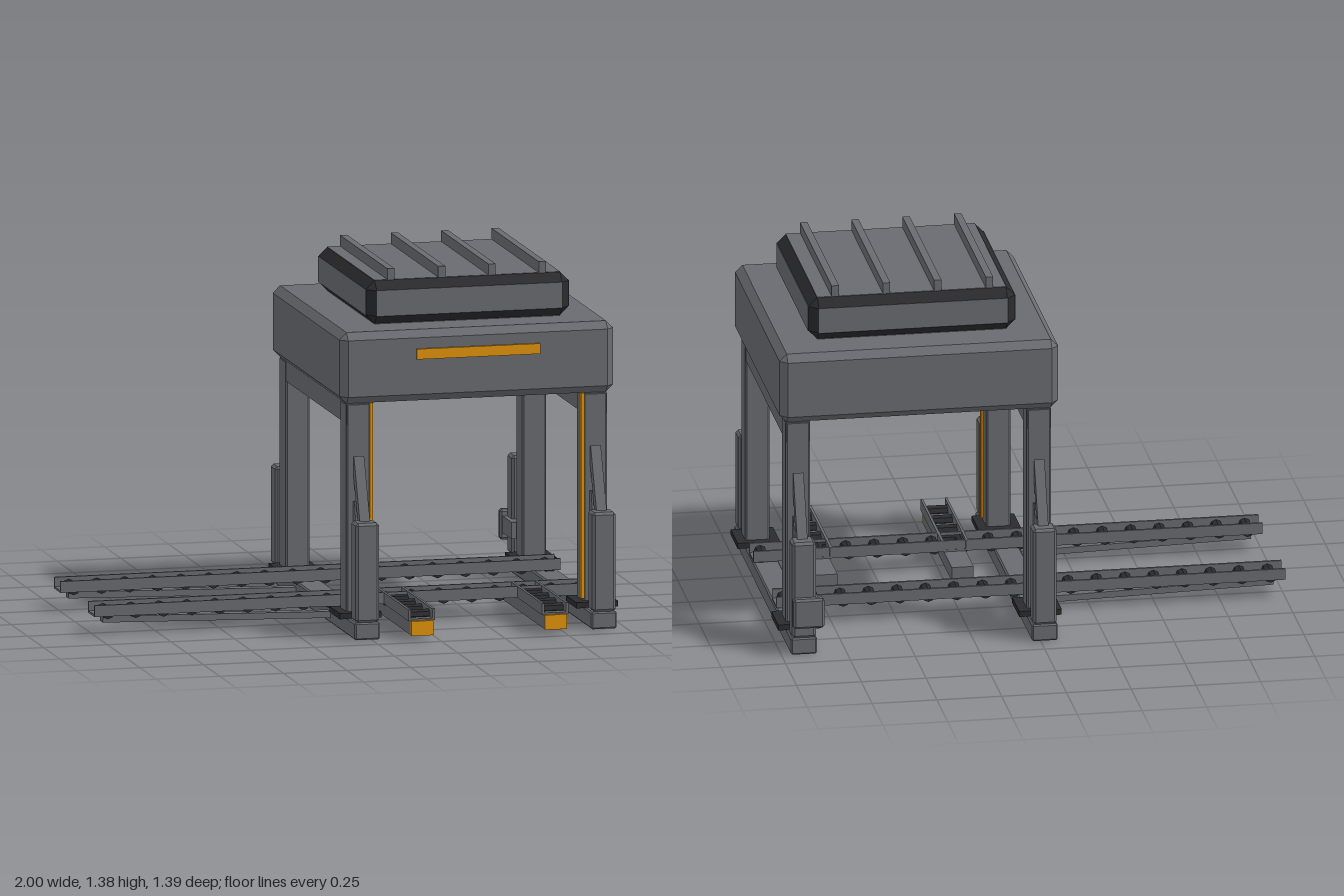
import * as THREE from 'three';
import { ConvexGeometry } from 'three/addons/geometries/ConvexGeometry.js';

const mat = (color) => new THREE.MeshStandardMaterial({ color, flatShading: true });

export function createModel() {
  const root = new THREE.Group();
  const grey = mat(0x6a6b70), dark = mat(0x2b2b2e), orange = mat(0xe0930c);

  const add = (name, geo, m, parent) => {
    const mesh = new THREE.Mesh(geo, m);
    mesh.name = name;
    parent.add(mesh);
    return mesh;
  };
  // box given by its extents on each axis; a chamfer c cuts all edges
  const box = (name, [x0, x1], [y0, y1], [z0, z1], m = grey, parent = root, c = 0) => {
    const w = x1 - x0, h = y1 - y0, d = z1 - z0;
    let geo;
    if (c) {
      const pts = [];
      for (const i of [-1, 1]) for (const j of [-1, 1]) for (const k of [-1, 1])
        for (let a = 0; a < 3; a++)
          pts.push(new THREE.Vector3(
            i * (w / 2 - (a === 0 ? 0 : c)),
            j * (h / 2 - (a === 1 ? 0 : c)),
            k * (d / 2 - (a === 2 ? 0 : c))));
      geo = new ConvexGeometry(pts);
    } else geo = new THREE.BoxGeometry(w, h, d);
    const mesh = add(name, geo, m, parent);
    mesh.position.set((x0 + x1) / 2, (y0 + y1) / 2, (z0 + z1) / 2);
    return mesh;
  };
  // slanted bar in the yz plane between two [z, y] points
  const strut = (name, x, [za, ya], [zb, yb], wide, thick, parent) => {
    const bar = add(name, new THREE.BoxGeometry(wide, Math.hypot(zb - za, yb - ya), thick), grey, parent);
    bar.position.set(x, (ya + yb) / 2, (za + zb) / 2);
    bar.rotation.x = Math.atan2(zb - za, yb - ya);
  };

  // main housing
  box('housing', [-0.09, 0.985], [0.895, 1.17], [-0.545, 0.535], grey, root, 0.028);
  box('housingLightBar', [0.205, 0.69], [1.06, 1.1], [0.53, 0.545], orange);

  // roof unit: dark chamfers with light panels
  const roof = new THREE.Group();
  roof.name = 'roofUnit';
  root.add(roof);
  const X = [0.05, 0.85], Y = [1.17, 1.34], Z = [-0.405, 0.395], c = 0.035;
  const inset = ([a, b], t) => [a + t, b - t];
  box('roofBody', inset(X, 0.001), inset(Y, 0.001), inset(Z, 0.001), dark, roof, c);
  box('roofSidePanels', X, inset(Y, c), inset(Z, c), grey, roof);
  box('roofTopPanel', inset(X, c), Y, inset(Z, c), grey, roof);
  box('roofEndPanels', inset(X, c), inset(Y, c), Z, grey, roof);
  for (const x of [0.15, 0.35, 0.547, 0.745])
    box('roofRib', [x - 0.014, x + 0.014], [1.335, 1.382], [-0.37, 0.36], grey, roof);

  // two side frames: base rail, top beam, legs, feet and outriggers
  for (const x of [-0.016, 0.914]) {
    const frame = new THREE.Group();
    frame.name = 'sideFrame';
    frame.position.z = -0.005;
    root.add(frame);
    const span = (half) => [x - half, x + half];
    box('baseRail', span(0.05), [0.003, 0.07], [-0.655, 0.655], grey, frame, 0.006);
    box('topBeam', span(0.045), [0.815, 0.895], [-0.515, 0.515], grey, frame);
    for (const s of [-1, 1]) {
      const zs = (a, b) => (s > 0 ? [a, b] : [-b, -a]);
      box('leg', span(0.047), [0.08, 0.895], zs(0.418, 0.517), grey, frame, 0.006);
      box('footPlate', span(0.082), [0.068, 0.09], zs(0.388, 0.55), dark, frame);
      box('outriggerPost', span(0.046), [0.07, 0.455], zs(0.58, 0.66), grey, frame, 0.01);
      strut('upperBrace', x, [s * 0.61, 0.42], [s * 0.508, 0.685], 0.04, 0.035, frame);
      strut('lowerBrace', x, [s * 0.592, 0.19], [s * 0.515, 0.515], 0.045, 0.055, frame);
    }
  }

  // light strips on the inner edges of the front legs
  for (const x of [0.033, 0.864])
    box('legLightStrip', [x - 0.006, x + 0.006], [0.1, 0.895], [0.485, 0.516], orange);

  // control box on a rear outrigger
  box('controlBoxBracket', [0.85, 0.9], [0.145, 0.21], [-0.67, -0.525]);
  box('controlBox', [0.84, 0.96], [0.118, 0.236], [-0.695, -0.66], grey, root, 0.008);

  // open roller channel running along local x from 0 to len
  const conveyor = (name, len, width, pitch) => {
    const g = new THREE.Group();
    g.name = name;
    root.add(g);
    const h = width / 2;
    box('conveyorBed', [0, len], [0.075, 0.083], [-h, h], grey, g);
    for (const s of [-1, 1])
      box('conveyorWall', [0, len], [0.075, 0.119], [s * (h - 0.005) - 0.005, s * (h - 0.005) + 0.005], grey, g);
    for (let x = 0.055; x < len - 0.02; x += pitch) {
      const roller = add('roller', new THREE.CylinderGeometry(0.024, 0.024, width - 0.022, 8), dark, g);
      roller.rotation.x = Math.PI / 2;
      roller.position.set(x, 0.086, 0);
    }
    return g;
  };

  // long conveyors with a shallow support under the overhang
  for (const z of [-0.272, 0.253]) {
    conveyor('longConveyor', 1.965, 0.104, 0.11).position.set(-1, 0, z);
    const prop = box('conveyorProp', [-0.96, -0.06], [0.035, 0.06], [z - 0.02, z + 0.02]);
    prop.rotation.z = -0.025;
  }

  // short front conveyors, each on a beam with a coloured end
  for (const x of [0.188, 0.713]) {
    const g = conveyor('shortConveyor', 0.485, 0.104, 0.11);
    g.position.set(x, 0, 0.685);
    g.rotation.y = Math.PI / 2;
    box('conveyorBeam', [x - 0.042, x + 0.042], [0.02, 0.075], [0.02, 0.685]);
    box('conveyorEndCap', [x - 0.043, x + 0.043], [0.019, 0.076], [0.683, 0.696], orange);
  }
  return root;
}
